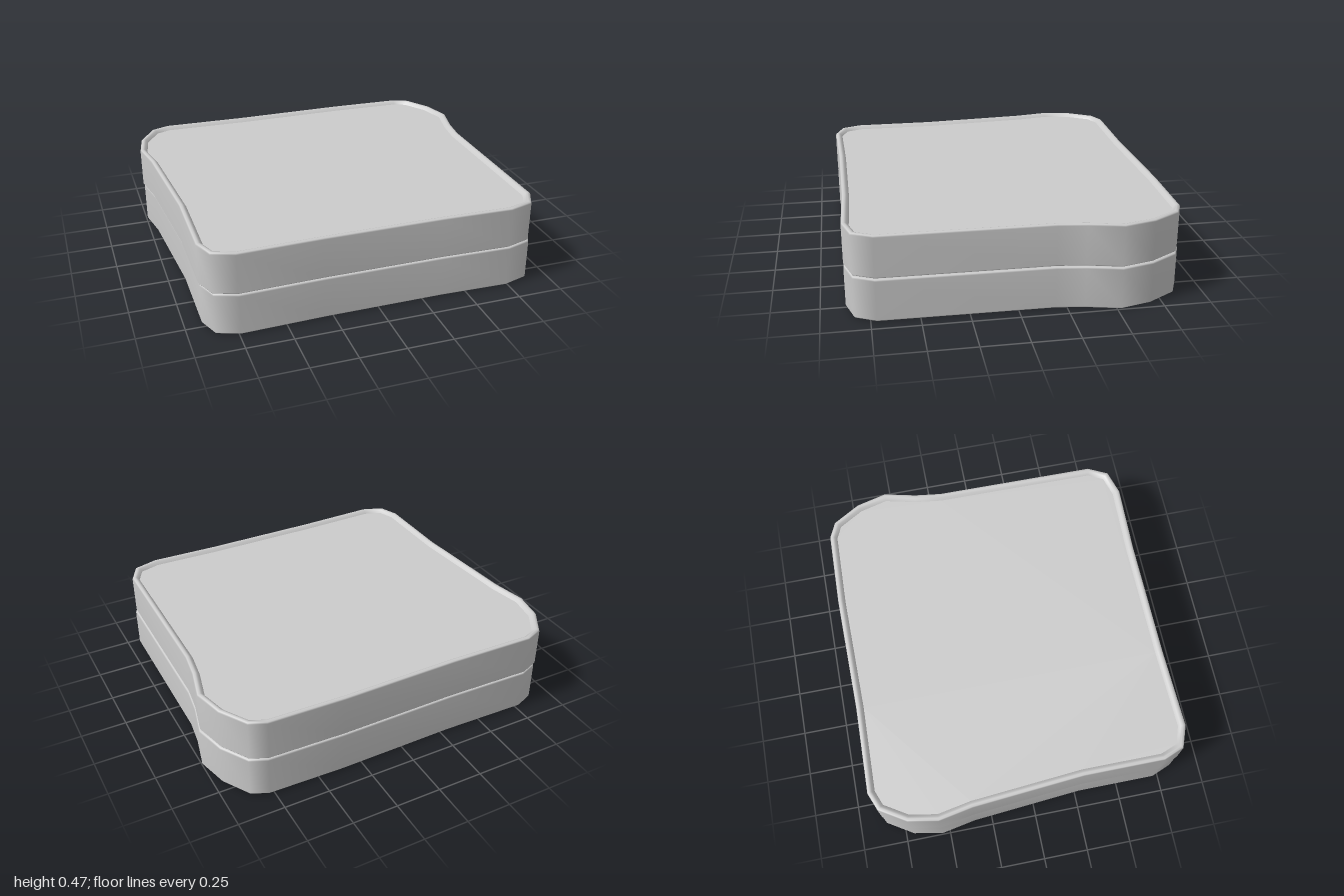
import * as THREE from 'three';

// Slice outline as (x, z), running from the back left corner round by the right
const OUTLINE = [
  [-0.78, -0.89], [-0.3, -0.88], [0.35, -0.89], [0.77, -0.88], [0.86, -0.84], [0.95, -0.69],
  [0.993, -0.52], [0.95, -0.34], [0.93, -0.19], [0.925, 0.72], [0.87, 0.83], [0.735, 0.87],
  [0.35, 0.86], [-0.3, 0.865], [-0.75, 0.88], [-0.87, 0.835], [-0.915, 0.72], [-0.915, 0.27],
  [-0.965, -0.35], [-1, -0.54], [-0.97, -0.705], [-0.88, -0.85],
];
const HEIGHT = 0.232;
const RECESS = 0.02;
const RIM = 0.04;

// Outline moved inwards by a distance, with mitred corners
function inset(distance) {
  const n = OUTLINE.length;
  const normal = (a, b) => new THREE.Vector2(b[1] - a[1], a[0] - b[0]).normalize();
  return OUTLINE.map((p, i) => {
    const before = normal(OUTLINE[(i + n - 1) % n], p);
    const after = normal(p, OUTLINE[(i + 1) % n]);
    const miter = before.clone().add(after).normalize();
    const d = distance / miter.dot(after);
    return new THREE.Vector2(p[0] - miter.x * d, p[1] - miter.y * d);
  });
}

// Smooth crust band: a rounded lip at top and bottom, swept round the outline
function crustGeometry() {
  const lip = [[RIM, RECESS], [0.027, 0.004], [0.016, 0], [0.005, 0.003], [0, 0.01]];
  const profile = [
    ...lip.map(([d, y]) => [d, HEIGHT - y]),
    ...lip.slice().reverse(),
  ];
  const n = OUTLINE.length;
  const positions = [];
  const indices = [];
  profile.forEach(([d, y], j) => {
    inset(d).forEach((p, i) => {
      positions.push(p.x, y, p.y);
      if (j === profile.length - 1) return;
      const a = j * n + i;
      const b = j * n + (i + 1) % n;
      indices.push(a, b, a + n, b, b + n, a + n);
    });
  });
  const geometry = new THREE.BufferGeometry();
  geometry.setAttribute('position', new THREE.Float32BufferAttribute(positions, 3));
  geometry.setIndex(indices);
  geometry.computeVertexNormals();
  return geometry;
}

// Flat crumb face, facing up (side 1) or down (side -1)
function crumbGeometry(side) {
  const points = inset(RIM).map((p) => new THREE.Vector2(p.x, -side * p.y));
  const geometry = new THREE.ShapeGeometry(new THREE.Shape(points));
  geometry.rotateX(-side * Math.PI / 2);
  return geometry.translate(0, side > 0 ? HEIGHT - RECESS : RECESS, 0);
}

export function createModel() {
  const material = new THREE.MeshStandardMaterial({ color: 0xcccccc });
  const model = new THREE.Group();
  model.name = 'breadSlices';

  const parts = {
    crust: crustGeometry(),
    crumbTop: crumbGeometry(1),
    crumbBottom: crumbGeometry(-1),
  };

  // Two stacked slices, the lower one shifted a hair to +x
  [['lowerSlice', 0.006, 0], ['upperSlice', 0, HEIGHT + 0.001]].forEach(([name, x, y]) => {
    const slice = new THREE.Group();
    slice.name = name;
    for (const [part, geometry] of Object.entries(parts)) {
      const mesh = new THREE.Mesh(geometry, material);
      mesh.name = part;
      slice.add(mesh);
    }
    slice.position.set(x, y, 0);
    model.add(slice);
  });
  return model;
}
